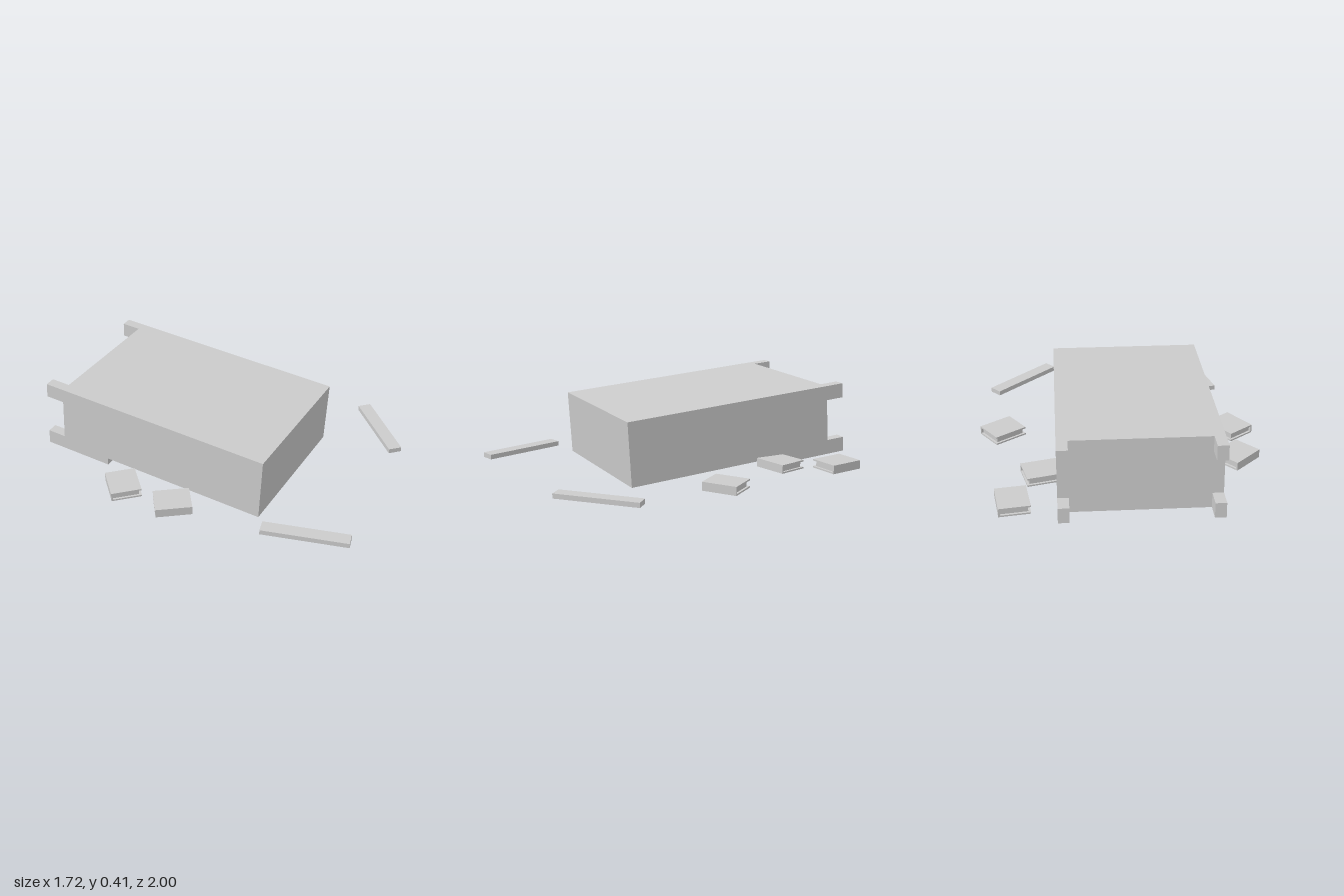
import * as THREE from 'three';

const grey = new THREE.MeshStandardMaterial({ color: 0xcccccc, flatShading: true });

// Box given by its min and max corners
function block(name, [x0, y0, z0], [x1, y1, z1]) {
  const geo = new THREE.BoxGeometry(x1 - x0, y1 - y0, z1 - z0);
  geo.translate((x0 + x1) / 2, (y0 + y1) / 2, (z0 + z1) / 2);
  const mesh = new THREE.Mesh(geo, grey);
  mesh.name = name;
  return mesh;
}

// Toppled bookcase: x across, -y towards its open face, -z towards its feet
function makeBookcase() {
  const g = new THREE.Group();
  g.name = 'bookcase';
  const w = 0.394, depth = 0.335, wall = 0.055, back = 0.025;
  const baseStart = 0.89, baseEnd = 1.165, footEnd = 1.265, lip = 0.04, footH = 0.077;

  g.add(block('backPanel', [-w + wall, -back, -baseStart], [w - wall, 0, -wall]));
  g.add(block('topPanel', [-w, -depth, -wall], [w, 0, 0]));
  g.add(block('base', [-w, -depth - lip, -baseEnd], [w, 0, -baseStart]));

  for (const s of [-1, 1]) {
    const x0 = s < 0 ? -w : w - wall, x1 = x0 + wall;
    g.add(block('sideWall', [x0, -depth, -baseStart], [x1, 0, -wall]));
    // One foot at the back and one at the protruding front of each side
    for (const top of [0, -depth - lip + footH]) {
      g.add(block('foot', [x0, top - footH, -footEnd], [x1, top, -baseEnd]));
    }
  }
  g.rotation.set(0.0617, 0.57, 0, 'YXZ');
  g.position.set(0.16, 0.335, 0.365);
  return g;
}

// Closed book, spine towards local +x, pages set in on the other three sides
function makeBook() {
  const g = new THREE.Group();
  g.name = 'book';
  const hx = 0.078, hy = 0.0225, hz = 0.092, t = 0.008, inset = 0.012;
  g.add(block('lowerCover', [-hx, -hy, -hz], [hx, -hy + t, hz]));
  g.add(block('upperCover', [-hx, hy - t, -hz], [hx, hy, hz]));
  g.add(block('spine', [hx - t, -hy + t, -hz], [hx, hy - t, hz]));
  g.add(block('pages', [-hx + inset, -hy + t, -hz + inset], [hx - t, hy - t, hz - inset]));
  return g;
}

export function createModel() {
  const model = new THREE.Group();
  model.name = 'toppledBookcase';
  model.add(makeBookcase());

  // Scattered books: x, z, heading of the spine
  const books = [
    [0.085, -0.88, -0.71],
    [0.103, -0.59, 0.76],
    [0.515, -0.33, 0.39],
    [-0.678, 0.04, -2.9],
    [-0.525, 0.295, 1.94],
  ];
  for (const [x, z, heading] of books) {
    const book = makeBook();
    book.position.set(x, 0.0425, z);
    book.rotation.y = -heading;
    model.add(book);
  }

  // Loose shelf planks: x, z, heading of the long side
  for (const [x, z, heading] of [[-0.072, 0.82, 0.745], [0.77, 0.2525, 1.8]]) {
    const plank = block('plank', [-0.22, -0.0125, -0.035], [0.22, 0.0125, 0.035]);
    plank.position.set(x, 0.034, z);
    plank.rotation.y = -heading;
    model.add(plank);
  }
  return model;
}
